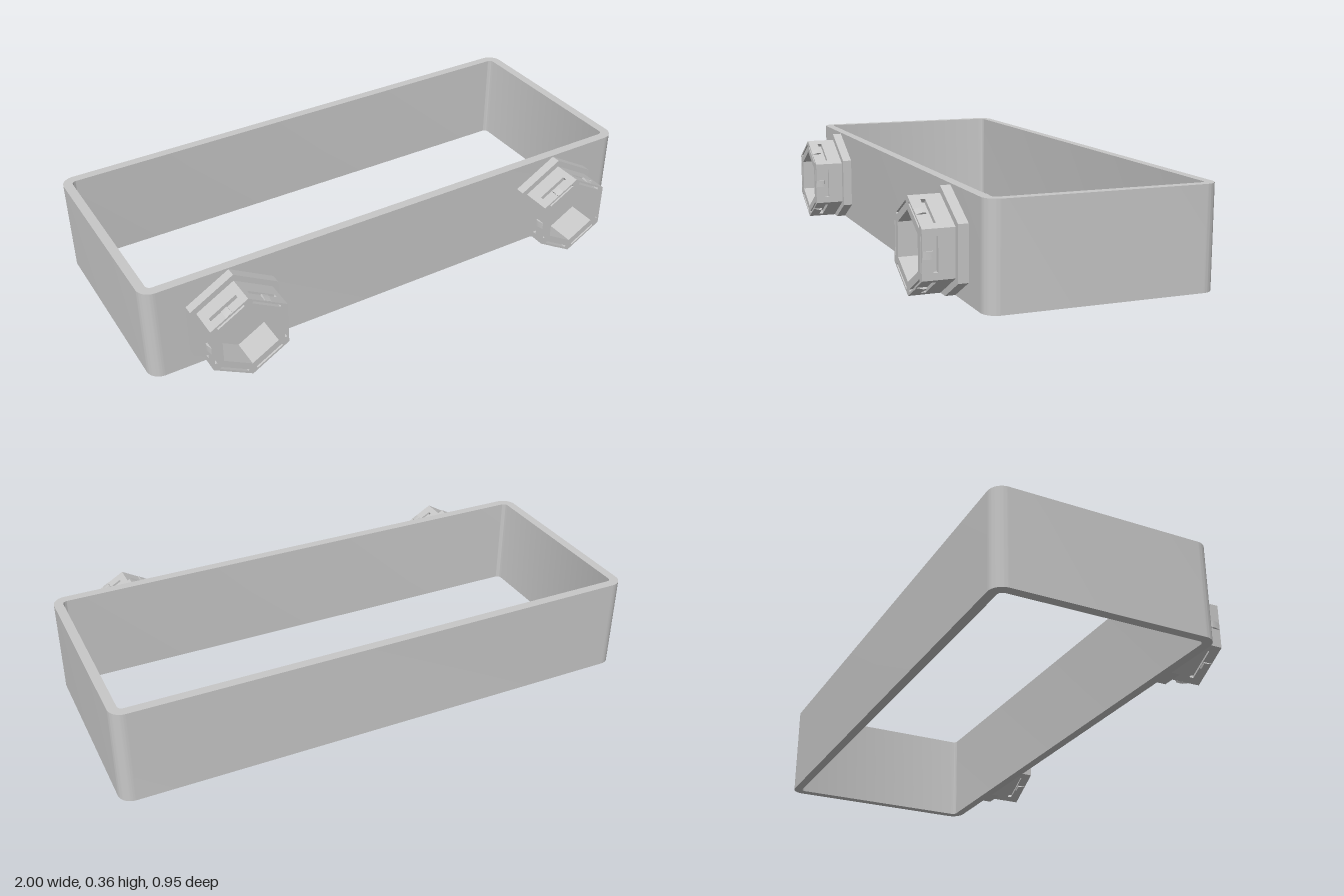
import * as THREE from 'three';
import { toCreasedNormals } from 'three/addons/utils/BufferGeometryUtils.js';

const grey = new THREE.MeshStandardMaterial({ color: 0xc8c8c8 });
grey.name = 'grey';

const HEIGHT = 0.358, FRONT = 0.33, BACK = -0.475, WALL = 0.034;
const HEX_Y = 0.164, BODY_R = 0.164, FLANGE_R = 0.189, HOLE_R = 0.118;
const APOTHEM = BODY_R * Math.cos(Math.PI / 6);
const HALF_SLOT = 0.058, SLOT_DEPTH = 0.015, CLIP_THICKNESS = 0.007;

function addMesh(parent, name, geometry) {
  const mesh = new THREE.Mesh(geometry, grey);
  mesh.name = name;
  parent.add(mesh);
  return mesh;
}

function extrude(shape, z0, z1) {
  const g = new THREE.ExtrudeGeometry(shape, { depth: z1 - z0, bevelEnabled: false, curveSegments: 10 });
  return toCreasedNormals(g.translate(0, 0, z0), 0.5);
}

// Rounded rectangle outline centred on the origin
function roundedRect(target, w, h, r) {
  const x = w / 2, y = h / 2;
  target.moveTo(-x + r, -y);
  target.lineTo(x - r, -y).absarc(x - r, -y + r, r, -Math.PI / 2, 0);
  target.lineTo(x, y - r).absarc(x - r, y - r, r, 0, Math.PI / 2);
  target.lineTo(-x + r, y).absarc(-x + r, y - r, r, Math.PI / 2, Math.PI);
  target.lineTo(-x, -y + r).absarc(-x + r, -y + r, r, Math.PI, Math.PI * 1.5);
  return target;
}

// Pointy-top hexagon corners
function hexPoints(r) {
  return Array.from({ length: 6 }, (_, i) => {
    const a = Math.PI / 2 + i * Math.PI / 3;
    return new THREE.Vector2(Math.cos(a) * r, Math.sin(a) * r);
  });
}

function hexRing(points) {
  const shape = new THREE.Shape(points);
  shape.holes.push(new THREE.Path(hexPoints(HOLE_R)));
  return shape;
}

// Repeats points given as [along side, depth below side] on side i of the body
function onSide(i, points) {
  return points.map(([t, d]) =>
    new THREE.Vector2(APOTHEM - d, t).rotateAround(new THREE.Vector2(), i * Math.PI / 3));
}

function createSocket() {
  const socket = new THREE.Group();

  // Flange, its lower corner trimmed level with the frame
  const cut = (FLANGE_R - HEX_Y) / Math.tan(Math.PI / 6);
  const points = hexPoints(FLANGE_R);
  points.splice(3, 1, new THREE.Vector2(-cut, -HEX_Y), new THREE.Vector2(cut, -HEX_Y));
  addMesh(socket, 'flange', extrude(new THREE.Shape(points), FRONT - 0.005, 0.365));

  // Hexagonal body with a straight cavity
  addMesh(socket, 'body', extrude(hexRing(hexPoints(BODY_R)), 0.365, 0.422));

  // Slots cut into the sides, continuing forward as grooves behind thin clips
  const slotted = [];
  const rim = hexRing(hexPoints(BODY_R));
  for (let i = 0; i < 6; i++) {
    slotted.push(...onSide(i, [
      [-BODY_R / 2, 0], [-HALF_SLOT, 0], [-HALF_SLOT, SLOT_DEPTH], [HALF_SLOT, SLOT_DEPTH], [HALF_SLOT, 0],
    ]));
    rim.holes.push(new THREE.Path(onSide(i, [
      [-HALF_SLOT, CLIP_THICKNESS], [-HALF_SLOT, SLOT_DEPTH],
      [HALF_SLOT, SLOT_DEPTH], [HALF_SLOT, CLIP_THICKNESS],
    ])));
  }
  addMesh(socket, 'slotBand', extrude(hexRing(slotted), 0.422, 0.438));
  addMesh(socket, 'rim', extrude(rim, 0.438, 0.475));

  // Small wedge catch on every clip, falling towards the rim
  const wedge = new THREE.Shape([
    new THREE.Vector2(0.438, -0.004), new THREE.Vector2(0.474, -0.004), new THREE.Vector2(0.474, 0.001),
    new THREE.Vector2(0.452, 0.007), new THREE.Vector2(0.442, 0.007),
  ]);
  for (let i = 0; i < 6; i++) {
    const clip = new THREE.Group();
    clip.name = 'catch';
    clip.rotation.z = i * Math.PI / 3;
    const g = extrude(wedge, -0.013, 0.013);
    // profile x runs along z, profile y points out of the side
    g.applyMatrix4(new THREE.Matrix4().makeBasis(
      new THREE.Vector3(0, 0, 1), new THREE.Vector3(1, 0, 0), new THREE.Vector3(0, 1, 0)));
    g.translate(APOTHEM, 0, 0);
    addMesh(clip, 'catchWedge', g);
    socket.add(clip);
  }
  return socket;
}

export function createModel() {
  const model = new THREE.Group();
  model.name = 'frameWithSockets';

  // Open rectangular frame
  const depth = FRONT - BACK;
  const outline = roundedRect(new THREE.Shape(), 2, depth, 0.05);
  outline.holes.push(roundedRect(new THREE.Path(), 2 - 2 * WALL, depth - 2 * WALL, 0.018));
  const frame = addMesh(model, 'frame', extrude(outline, 0, HEIGHT));
  frame.rotation.x = -Math.PI / 2;
  frame.position.z = (FRONT + BACK) / 2;

  // Two sockets on the front wall
  for (const side of [-1, 1]) {
    const socket = createSocket();
    socket.name = side > 0 ? 'leftSocket' : 'rightSocket';
    socket.position.set(side * 0.69, HEX_Y, 0);
    model.add(socket);
  }
  return model;
}
